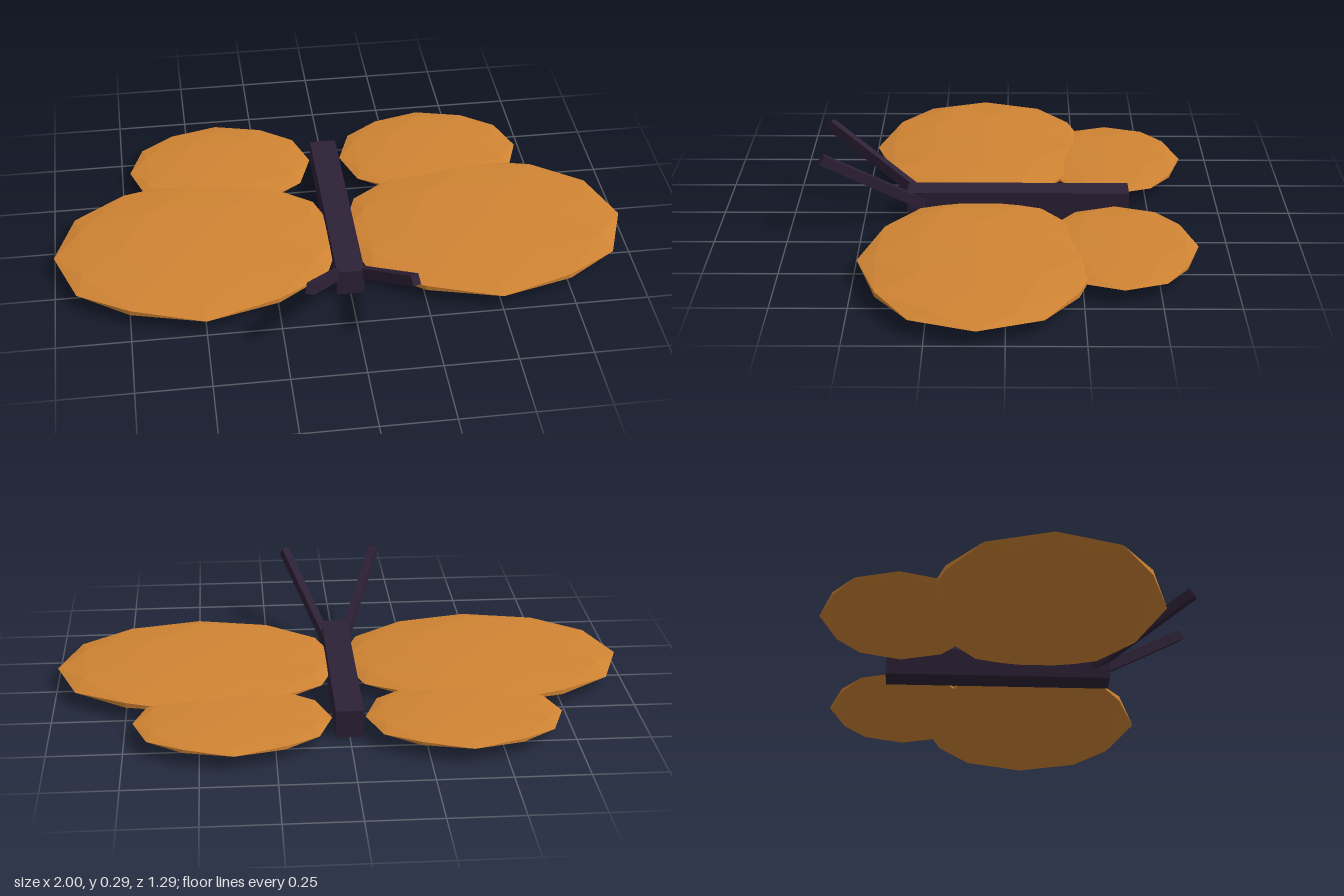
import * as THREE from 'three';

const orange = new THREE.MeshStandardMaterial({ color: 0xd08433 });
orange.name = 'wing orange';
const dark = new THREE.MeshStandardMaterial({ color: 0x2d2136 });
dark.name = 'body dark purple';

// Flattened low-poly ball with faceted normals
function wing(name, side, x, z, rx, ry, rz) {
  const geometry = new THREE.IcosahedronGeometry(1, 1);
  geometry.scale(rx, ry, rz);
  geometry.computeVertexNormals();
  const mesh = new THREE.Mesh(geometry, orange);
  mesh.name = name;
  mesh.position.set(side * x, 0.05, z);
  return mesh;
}

// Square rod from the head up, out and forward
function antenna(name, side) {
  const base = new THREE.Vector3(side * 0.033, 0.046, 0.29);
  const tip = new THREE.Vector3(side * 0.17, 0.272, 0.632);
  const mesh = new THREE.Mesh(new THREE.BoxGeometry(0.028, 0.036, base.distanceTo(tip)), dark);
  mesh.name = name;
  mesh.position.copy(base).lerp(tip, 0.5);
  mesh.lookAt(tip);
  return mesh;
}

export function createModel() {
  const model = new THREE.Group();
  model.name = 'butterfly';

  const body = new THREE.Mesh(new THREE.BoxGeometry(0.094, 0.096, 0.778), dark);
  body.name = 'body';
  body.position.set(0, 0.048, -0.04);
  model.add(body);

  for (const [label, side] of [['left', 1], ['right', -1]]) {
    model.add(
      wing(label + 'FrontWing', side, 0.5, 0.09, 0.5, 0.028, 0.4),
      wing(label + 'RearWing', side, 0.388, -0.378, 0.332, 0.0187, 0.264),
      antenna(label + 'Antenna', side)
    );
  }
  return model;
}
